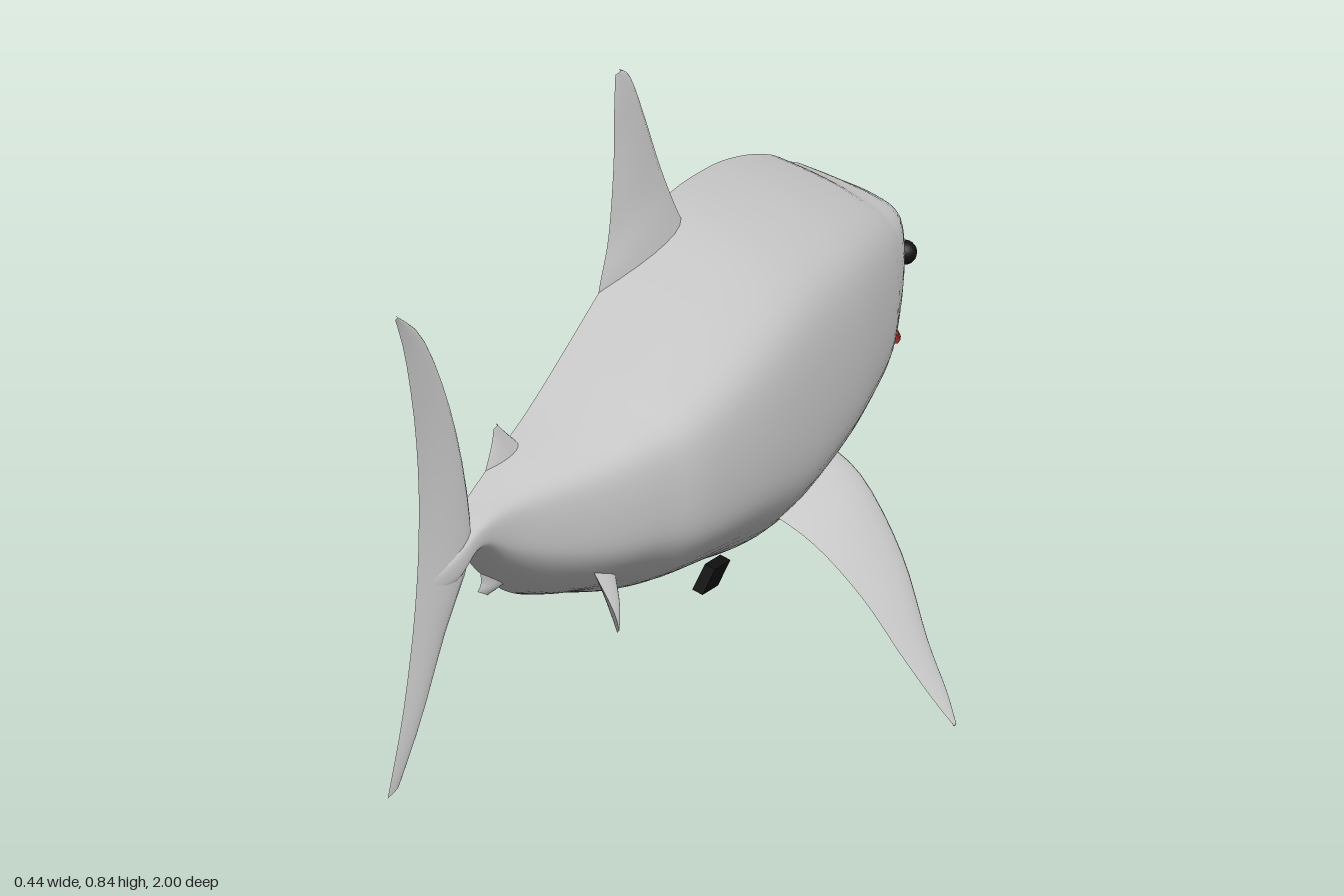
import * as THREE from 'three';

const MID = -0.13; // plane where the half shell is cut open

// Catmull-Rom interpolation through rows of numbers, t in 0..1
function sample(rows, t) {
  const f = Math.min(Math.max(t, 0), 1) * (rows.length - 1);
  const i = Math.min(Math.floor(f), rows.length - 2), u = f - i;
  const p = (k) => rows[Math.min(Math.max(i + k, 0), rows.length - 1)];
  return rows[0].map((_, n) => {
    const a = p(-1)[n], b = p(0)[n], c = p(1)[n], d = p(2)[n];
    return b + 0.5 * u * (c - a + u * (2 * a - 5 * b + 4 * c - d + u * (3 * (b - c) + d - a)));
  });
}

// Surface from a rule point(u, v) on a regular grid
function grid(nu, nv, point) {
  const pos = [], idx = [];
  for (let i = 0; i <= nu; i++) for (let j = 0; j <= nv; j++) {
    pos.push(...point(i / nu, j / nv));
    if (i < nu && j < nv) {
      const a = i * (nv + 1) + j, b = a + nv + 1;
      idx.push(a, b, a + 1, b, b + 1, a + 1);
    }
  }
  const g = new THREE.BufferGeometry();
  g.setAttribute('position', new THREE.Float32BufferAttribute(pos, 3));
  g.setIndex(idx);
  g.computeVertexNormals();
  return g;
}

// Body stations: z, top, bottom, half width
const STATIONS = [
  [-1.0, 0.14, 0.13, 0.004], [-0.985, 0.168, 0.115, 0.026], [-0.95, 0.197, 0.106, 0.052],
  [-0.9, 0.238, 0.102, 0.085], [-0.85, 0.265, 0.098, 0.1], [-0.81, 0.287, 0.078, 0.109],
  [-0.76, 0.31, 0.058, 0.118], [-0.68, 0.35, 0.053, 0.132], [-0.55, 0.402, 0.062, 0.148],
  [-0.4, 0.45, 0.075, 0.161], [-0.2, 0.495, 0.1, 0.168], [0, 0.505, 0.163, 0.166],
  [0.2, 0.503, 0.225, 0.15], [0.3, 0.502, 0.265, 0.127], [0.4, 0.503, 0.303, 0.1],
  [0.5, 0.508, 0.35, 0.07], [0.6, 0.512, 0.41, 0.043], [0.7, 0.515, 0.472, 0.03],
  [0.78, 0.515, 0.465, 0.022], [0.87, 0.502, 0.488, 0.001],
];
// Half cross-section: width share, height share
const SECTION = [[0, 1], [0.3, 0.9], [0.62, 0.76], [0.9, 0.55], [1, 0.25],
  [1, -0.25], [0.91, -0.55], [0.66, -0.8], [0.32, -0.95], [0, -1]];

function skin(u, v) {
  const [z, top, bottom, w] = sample(STATIONS, u), [fx, fy] = sample(SECTION, v);
  return [MID + w * fx, (top + bottom) / 2 + fy * (top - bottom) / 2, z];
}

// Point on the flank at a given z and y
function flank(z, y) {
  let u = 0, v = 0;
  while (u < 1 && skin(u, 0)[2] < z) u += 0.001;
  while (v < 1 && skin(u, v)[1] > y) v += 0.005;
  return new THREE.Vector3(...skin(u, v));
}

// Fin with a foil section. Rows: lead xyz, trail xyz, thickness.
// dir is the thickness direction; a half fin has only the dir side.
function fin(rows, dir, half) {
  return grid(20, half ? 10 : 20, (u, v) => {
    const r = sample(rows, u);
    const s = half ? 1 - v : Math.abs(1 - 2 * v);
    const c = s * s, side = half || v < 0.5 ? 1 : -1;
    const t = side * r[6] * 4 * (s - c);
    return [0, 1, 2].map((k) => r[k] + (r[k + 3] - r[k]) * c + dir[k] * t);
  });
}
// Half fin on the cut plane. Rows: lead z y, trail z y, thickness.
const midFin = (rows) =>
  fin(rows.map(([lz, ly, tz, ty, th]) => [MID, ly, lz, MID, ty, tz, th]), [1, 0, 0], true);

export function createModel() {
  const group = new THREE.Group();
  const mat = (color) => new THREE.MeshStandardMaterial({ color, side: THREE.DoubleSide });
  const grey = mat(0xcccccc), black = mat(0x111111), white = mat(0xf4f4f4), red = mat(0xa02c2c);
  const add = (name, geo, material = grey, parent = group) => {
    const m = new THREE.Mesh(geo, material);
    m.name = name;
    parent.add(m);
    return m;
  };

  // Open half shell of the body
  add('body', grid(95, 36, skin));

  // Fins on the middle plane, rows from top to bottom
  add('dorsalFin', midFin([
    [-0.01, 0.72, 0.0, 0.718, 0.003], [-0.045, 0.7, 0.005, 0.68, 0.008],
    [-0.09, 0.64, 0.008, 0.62, 0.014], [-0.14, 0.57, 0.03, 0.55, 0.02],
    [-0.185, 0.51, 0.07, 0.51, 0.028], [-0.22, 0.47, 0.09, 0.48, 0.034],
  ]));
  add('tailFin', midFin([
    [0.965, 0.845, 0.967, 0.842, 0.002], [0.87, 0.787, 0.925, 0.785, 0.006],
    [0.785, 0.7, 0.885, 0.7, 0.01], [0.728, 0.607, 0.865, 0.62, 0.016],
    [0.7, 0.515, 0.865, 0.545, 0.022], [0.71, 0.475, 0.878, 0.49, 0.022],
    [0.785, 0.425, 0.9, 0.44, 0.014], [0.875, 0.36, 0.94, 0.38, 0.008],
    [0.955, 0.318, 1.0, 0.322, 0.002],
  ]));
  add('secondDorsalFin', midFin([
    [0.525, 0.545, 0.535, 0.543, 0.002], [0.505, 0.53, 0.545, 0.528, 0.006],
    [0.46, 0.5, 0.58, 0.505, 0.014],
  ]));
  add('analFin', midFin([
    [0.46, 0.36, 0.6, 0.42, 0.02], [0.52, 0.365, 0.59, 0.395, 0.01],
    [0.565, 0.37, 0.605, 0.39, 0.002],
  ]));

  // Paired fins on the flank, rows from tip to root
  add('pectoralFin', fin([
    [0.215, 0.003, -0.06, 0.217, 0.008, -0.045, 0.002],
    [0.19, 0.012, -0.12, 0.19, 0.03, -0.06, 0.005],
    [0.15, 0.03, -0.2, 0.15, 0.062, -0.09, 0.009],
    [0.095, 0.075, -0.31, 0.1, 0.107, -0.125, 0.014],
    [0.035, 0.128, -0.375, 0.045, 0.152, -0.145, 0.019],
    [-0.02, 0.155, -0.4, -0.01, 0.18, -0.16, 0.022],
  ], [-0.5, -0.86, 0]));
  add('pelvicFin', fin([
    [-0.025, 0.282, 0.425, -0.022, 0.287, 0.432, 0.002],
    [-0.038, 0.29, 0.38, -0.03, 0.31, 0.43, 0.008],
    [-0.065, 0.305, 0.3, -0.06, 0.35, 0.41, 0.012],
  ], [-0.6, -0.8, 0]));

  // Eyes and nostril
  for (const side of [-1, 1]) {
    const eye = add(side < 0 ? 'rightEye' : 'leftEye', new THREE.SphereGeometry(0.013, 16, 12), black);
    eye.position.set(MID + side * 0.081, 0.17, -0.876);
    if (side > 0) eye.position.x = flank(-0.876, 0.175).x;
  }
  const nostril = add('nostril', new THREE.SphereGeometry(0.01, 12, 8), white);
  nostril.scale.set(0.5, 0.7, 1.4);
  nostril.position.copy(flank(-0.92, 0.125));

  // Mouth line along the jaw
  const lip = new THREE.CatmullRomCurve3(
    [[-0.73, 0.137], [-0.765, 0.127], [-0.8, 0.115], [-0.835, 0.108]].map(([z, y]) => flank(z, y)));
  add('mouth', new THREE.TubeGeometry(lip, 16, 0.005, 6), red);

  // Two curved rows of teeth
  const teeth = new THREE.Group();
  teeth.name = 'teeth';
  group.add(teeth);
  const cone = new THREE.ConeGeometry(0.005, 0.014, 5);
  for (const upper of [true, false]) for (let i = -8; i <= 8; i++) {
    const t = i / 8;
    const tooth = add(upper ? 'upperTooth' : 'lowerTooth', cone, white, teeth);
    tooth.position.set(MID + 0.07 * t, (upper ? 0.123 : 0.103) + 0.008 * Math.abs(t), -0.83 + 0.06 * t * t);
    if (upper) tooth.rotation.z = Math.PI;
  }

  // Small dark panel in the belly
  const panel = add('bellyPanel', new THREE.BoxGeometry(0.012, 0.03, 0.07), black);
  panel.position.set(-0.055, 0.123, -0.11);
  panel.rotation.set(-0.25, 0, -0.4);

  return group;
}
